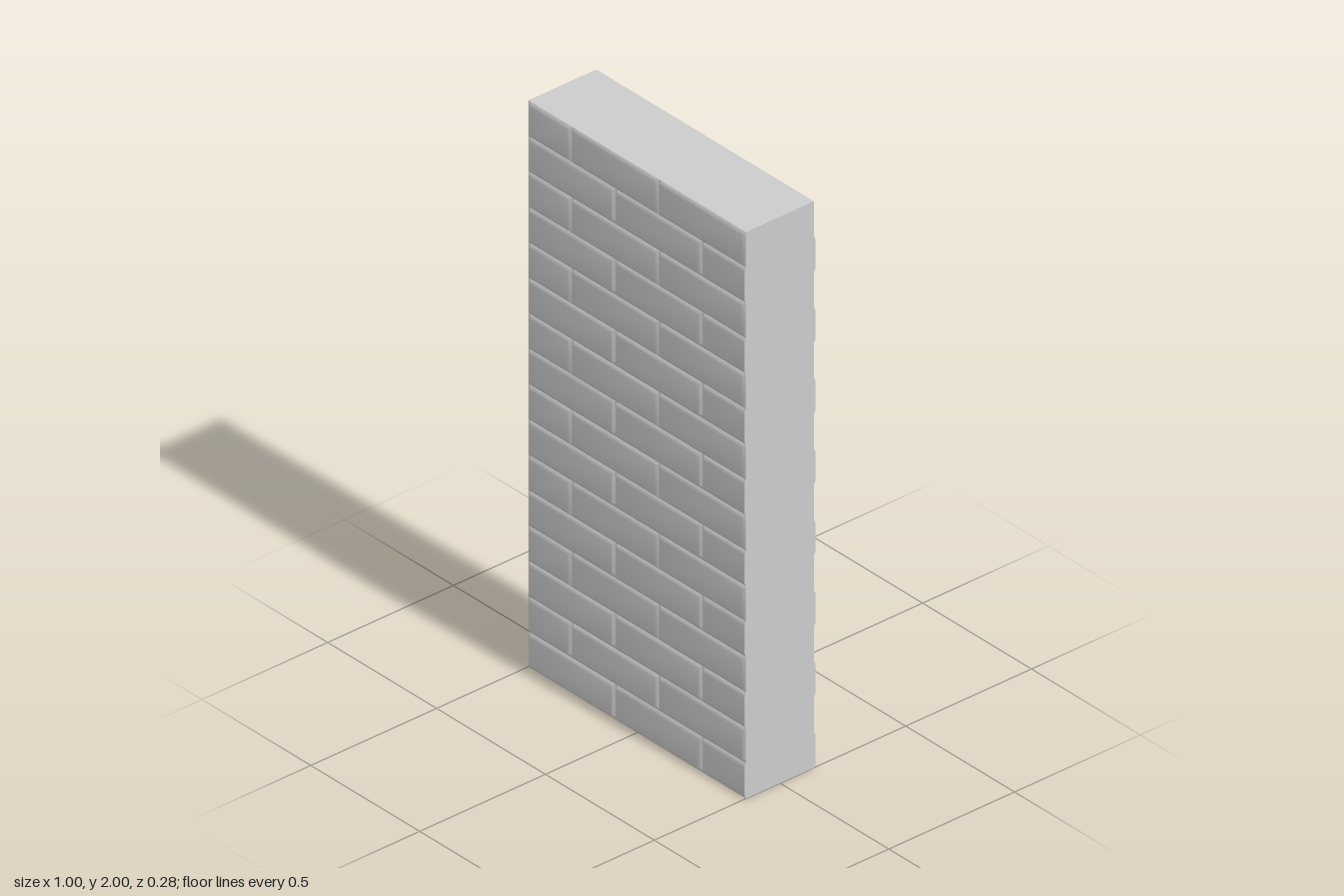
import * as THREE from 'three';
import { toCreasedNormals } from 'three/addons/utils/BufferGeometryUtils.js';

const WIDTH = 1, HEIGHT = 2, CORE = 0.27;
const ROWS = 16, ROW_H = HEIGHT / ROWS, BRICK_W = 0.4;
const BEVEL = 0.015, RELIEF = 0.007;

// Small seeded generator for the slight unevenness of the bricks
function seeded(seed) {
  return () => {
    seed = (seed * 1664525 + 1013904223) % 4294967296;
    return seed / 4294967296;
  };
}

// Rounded pillow face of one brick; a cut brick ends in a straight side at x1
function brickFace(x0, x1, y0, y1, side, cut, rise) {
  const e = cut ? 0 : 1;
  const xs = [x0, x0 + BEVEL * 0.4, x0 + BEVEL, x1 - BEVEL * e, x1 - BEVEL * 0.4 * e, x1];
  const xRise = cut ? [0, 0.65, 1, 1, 1, 0] : [0, 0.65, 1, 1, 0.65, 0];
  const ys = [y1, y1 - BEVEL * 0.4, y1 - BEVEL, y0 + BEVEL, y0 + BEVEL * 0.4, y0];
  const yRise = [0, 0.65, 1, 1, 0.65, 0];

  const geometry = new THREE.PlaneGeometry(1, 1, 5, 5);
  const pos = geometry.attributes.position;
  for (let k = 0; k < pos.count; k++) {
    // Columns run the other way on the back so the faces point outwards
    const i = side > 0 ? k % 6 : 5 - (k % 6);
    const j = Math.floor(k / 6);
    const z = CORE / 2 + rise * Math.min(xRise[i], yRise[j]);
    pos.setXYZ(k, xs[i], ys[j], side * z);
  }
  return toCreasedNormals(geometry, 0.9);
}

export function createModel() {
  const wall = new THREE.Group();
  wall.name = 'brickWall';
  const material = new THREE.MeshStandardMaterial({ color: 0xcccccc });
  const random = seeded(7);

  // Solid core with plain ends, top and bottom
  const core = new THREE.Mesh(new THREE.BoxGeometry(WIDTH, HEIGHT, CORE), material);
  core.position.y = HEIGHT / 2;
  core.name = 'wallCore';
  wall.add(core);

  // Running bond on both faces
  for (const side of [1, -1]) {
    const face = new THREE.Group();
    face.name = side > 0 ? 'frontBricks' : 'backBricks';
    for (let row = 0; row < ROWS; row++) {
      const start = -WIDTH / 2 - (row % 2) * BRICK_W / 2;
      for (let n = 0; n < 3; n++) {
        const x0 = Math.max(start + n * BRICK_W, -WIDTH / 2);
        const end = start + (n + 1) * BRICK_W;
        const x1 = Math.min(end, WIDTH / 2);
        const cut = end > WIDTH / 2 + 0.01;
        const rise = RELIEF - 0.001 * random();
        const brick = new THREE.Mesh(
          brickFace(x0, x1, row * ROW_H, (row + 1) * ROW_H, side, cut, rise), material);
        brick.name = cut || x1 - x0 < 0.3 ? 'halfBrick' : 'brick';
        face.add(brick);
      }
    }
    wall.add(face);
  }
  return wall;
}
